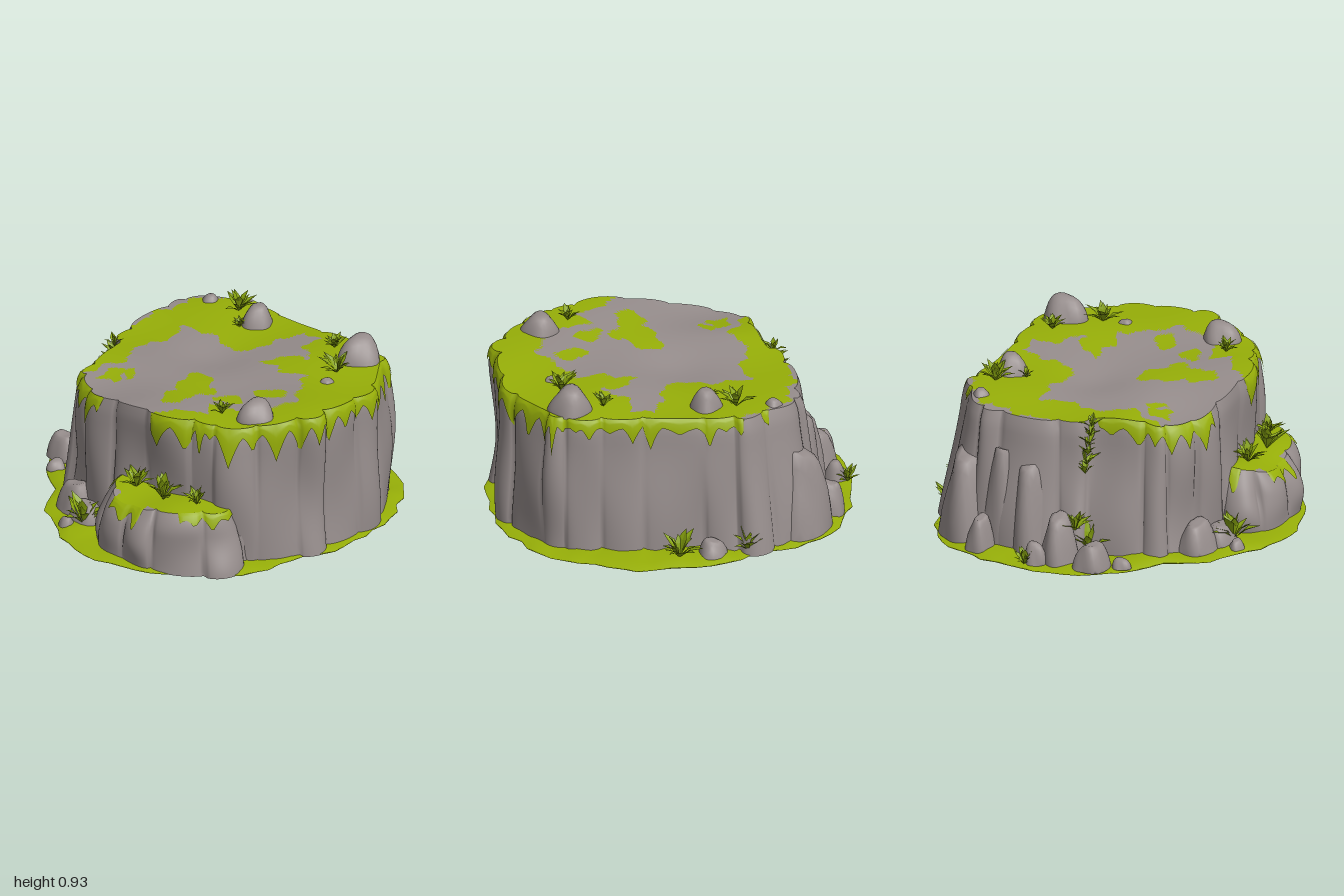
import * as THREE from 'three';
import { mergeGeometries, mergeVertices } from 'three/addons/utils/BufferGeometryUtils.js';

const rock = new THREE.MeshStandardMaterial({ name: 'grey rock', color: 0x968d8c });
const moss = new THREE.MeshStandardMaterial({ name: 'moss green', color: 0x97af08 });
const leafGreen = new THREE.MeshStandardMaterial({ name: 'leaf green', color: 0x86a20e, side: THREE.DoubleSide });

let seed = 7;
const rnd = () => (seed = (seed * 16807) % 2147483647) / 2147483647;
const smooth = THREE.MathUtils.smoothstep;

// Closed grid of rings; faces where green(x, z) holds go to the second material
function grid(n, rows, point, green) {
  const pos = [], sets = [[], []];
  for (let j = 0; j <= rows; j++) for (let i = 0; i < n; i++) pos.push(...point(i, j));
  for (let j = 0; j < rows; j++) {
    for (let i = 0; i < n; i++) {
      const a = j * n + i, b = j * n + (i + 1) % n, c = a + n, d = b + n;
      for (const tri of [[a, c, d], [a, d, b]]) {
        const mid = k => (pos[tri[0] * 3 + k] + pos[tri[1] * 3 + k] + pos[tri[2] * 3 + k]) / 3;
        sets[green && green(mid(0), mid(2)) ? 1 : 0].push(...tri);
      }
    }
  }
  const g = new THREE.BufferGeometry();
  g.setAttribute('position', new THREE.Float32BufferAttribute(pos, 3));
  g.setIndex([...sets[0], ...sets[1]]);
  if (green) {
    g.addGroup(0, sets[0].length, 0);
    g.addGroup(sets[0].length, sets[1].length, 1);
  }
  g.computeVertexNormals();
  return g;
}

function add(parent, name, geometry, material) {
  const m = new THREE.Mesh(geometry, material);
  m.name = name;
  parent.add(m);
  return m;
}

const outline = pts => new THREE.CatmullRomCurve3(pts.map(([x, z]) => new THREE.Vector3(x, 0, z)), true);

function inside(poly, x, z) {
  let hit = false;
  poly.forEach(([x1, z1], i) => {
    const [x2, z2] = poly[(i + 1) % poly.length];
    if ((z1 > z) !== (z2 > z) && x < x1 + (x2 - x1) * (z - z1) / (z2 - z1)) hit = !hit;
  });
  return hit;
}

// Cliff of irregular rock columns with a patchy top and a dripping moss fringe
function cliff(name, { pts, columns, height, green, fringe, drip, centre, bulge, inset, flare, shoulder, rounding }) {
  const group = new THREE.Group(), per = 16, n = columns * per, curve = outline(pts);
  group.name = name;
  const cols = Array.from({ length: columns }, () => ({ shift: rnd() * 0.7, size: 0.25 + rnd(), phase: rnd() * 6, lean: rnd() - 0.5 }));
  const spots = Array.from({ length: n }, (_, i) => {
    const k = Math.floor(i / per), p = (i % per) / per, next = cols[(k + 1) % columns];
    const s0 = k + cols[k].shift, s1 = k + 1 + next.shift;
    const u = ((s0 + (s1 - s0) * p) / columns) % 1;
    const c = curve.getPointAt(u), t = curve.getTangentAt(u);
    return { x: c.x, z: c.z, ox: t.z, oz: -t.x, p, col: cols[k] };
  });
  const at = (i, t, extra = 0) => {
    const { x, z, ox, oz, p, col } = spots[i];
    const round = Math.sqrt(Math.sin(Math.PI * p));
    const skew = col.lean * (p - 0.5) * 0.08 * round;
    const rough = 0.008 * (Math.sin(9 * x + 5 * t) + Math.sin(11 * z - 6 * t));
    const o = round * bulge * (col.size + 0.4 * Math.sin(t * 5 + col.phase)) + skew + rough
      - inset + flare(x, z) * (1 - t) - rounding * Math.max(0, (t - shoulder) / (1 - shoulder)) ** 2 + extra;
    return [x + ox * o, z + oz * o];
  };
  const rim = spots.map((_, i) => {
    const [x, z] = at(i, 1);
    return { x, z, y: height(x, z) };
  });
  add(group, 'rockWall', grid(n, 16, (i, j) => {
    const [x, z] = at(i, j / 16);
    return [x, rim[i].y * j / 16, z];
  }), rock);
  add(group, 'mossyTop', grid(n, 28, (i, j) => {
    const s = 1 - j / 28;
    const x = centre[0] + (rim[i].x - centre[0]) * s, z = centre[1] + (rim[i].z - centre[1]) * s;
    return [x, height(x, z), z];
  }, green), [rock, moss]);
  let start = 0, end = 0, depth = 0;
  const drips = rim.map(({ x, z }, i) => {
    if (i === end) {
      start = end;
      end += 5 + Math.floor(rnd() * 6);
      depth = 0.02 + 0.15 * rnd();
    }
    const tooth = 1 - Math.abs((2 * (i - start)) / (end - start) - 1);
    return fringe(x, z) ? drip * (0.045 + depth * tooth ** 1.5) : 0;
  });
  add(group, 'mossFringe', grid(n, 6, (i, j) => {
    const drop = drips[i] * (1 - j / 6), top = j === 6;
    const [x, z] = at(i, 1 - drop / rim[i].y, !top && drips[i] ? 0.009 : 0);
    return [x, rim[i].y - drop + (top && drips[i] ? 0.003 : 0), z];
  }), moss);
  return group;
}

// Weathered dome standing on its flat base; square widens its shoulders
function boulder(parent, name, x, y, z, r, h, square) {
  let g = new THREE.IcosahedronGeometry(1, 4);
  g.deleteAttribute('uv');
  g.deleteAttribute('normal');
  g = mergeVertices(g, 1e-4);
  const p = g.attributes.position, s = rnd() * 6;
  for (let i = 0; i < p.count; i++) {
    const a = p.getX(i), b = p.getY(i), c = p.getZ(i);
    const k = 1 + 0.08 * Math.sin(3 * a + s) + 0.07 * Math.sin(4 * c + 2 * b + s);
    const w = k * Math.max(Math.hypot(a, c), 0.01) ** -square * (1.08 - 0.25 * Math.max(b, 0));
    p.setXYZ(i, a * w, Math.max(0, Math.min(b * k, 0.9 + 0.1 * Math.sin(2 * a + s))), c * w);
  }
  g.computeVertexNormals();
  const m = add(parent, name, g, rock);
  m.scale.set(r, h / 0.93, r);
  m.position.set(x, y, z);
}

// Tuft of folded pointed leaves
function tuft(parent, name, x, y, z, size, count = 17) {
  const leaves = [];
  for (let i = 0; i < count; i++) {
    const l = size * (0.65 + 0.4 * rnd()), w = l * 0.16, tilt = 0.15 + 0.95 * rnd();
    const out = l * Math.sin(tilt), up = l * Math.cos(tilt);
    const B = [0, 0, 0], T = [out, up * 0.9, 0], M = [out * 0.45, up * 0.55, 0];
    const L = [M[0], M[1] + w * 0.4, w], R = [M[0], M[1] + w * 0.4, -w];
    const g = new THREE.BufferGeometry();
    g.setAttribute('position', new THREE.Float32BufferAttribute([B, L, M, L, T, M, B, M, R, M, T, R].flat(), 3));
    g.computeVertexNormals();
    leaves.push(g.rotateY(i * 2.4 + rnd()));
  }
  add(parent, name, mergeGeometries(leaves), leafGreen).position.set(x, y, z);
}

const plateauHeight = (x, z) => 0.77 + 0.04 * x + 0.012 * Math.sin(7 * x + 2) * Math.cos(6 * z)
  - 0.045 * Math.exp(-((x + 0.05) ** 2 + (z + 0.08) ** 2) / 0.05)
  - 0.04 * smooth(z, 0.25, 0.62) * smooth(-x, -0.15, 0.3);
const ledgeHeight = (x, z) => 0.345 - 0.04 * smooth(z, 0.65, 0.9) + 0.008 * Math.sin(14 * x);

// Bare rock area of the plateau, and moss islands [x, z, rx, rz] on it
const bare = [[0.06, -0.62], [0.18, -0.64], [0.22, -0.5], [0.36, -0.42], [0.2, -0.33], [0.2, -0.23], [0.38, -0.22], [0.48, -0.28],
  [0.6, -0.15], [0.72, 0.02], [0.68, 0.14], [0.58, 0.3], [0.42, 0.33], [0.52, 0.42], [0.36, 0.48], [0.28, 0.8], [-0.2, 0.8], [-0.42, 0.75],
  [-0.38, 0.42], [-0.28, 0.28], [-0.42, 0.2], [-0.38, 0], [-0.42, -0.22], [-0.3, -0.24], [0, -0.25], [0.06, -0.45]];
const islands = [[0.13, 0.18, 0.09, 0.1], [0.22, 0.27, 0.1, 0.07], [0.22, 0.4, 0.08, 0.1], [-0.18, 0.38, 0.05, 0.03],
  [0.53, 0.01, 0.08, 0.07], [0.42, 0.2, 0.07, 0.06], [-0.27, 0.44, 0.06, 0.07]];
function mossy(px, pz) {
  const x = px + 0.02 * Math.sin(23 * pz) + 0.012 * Math.sin(51 * pz), z = pz + 0.02 * Math.sin(25 * px + 1) + 0.012 * Math.sin(47 * px);
  if (x < -0.65 || x + z < -1.08) return false;
  return !inside(bare, x, z) || islands.some(([a, b, c, d]) => ((x - a) / c) ** 2 + ((z - b) / d) ** 2 < 1);
}

export function createModel() {
  const model = new THREE.Group();
  model.name = 'mossyRockPlateau';

  // Grass skirt on the ground
  const edge = outline([[0, -0.97], [0.2, -0.98], [0.4, -0.9], [0.57, -0.87], [0.75, -0.72], [0.88, -0.53], [0.95, -0.3],
    [0.98, -0.1], [0.92, 0.2], [0.89, 0.48], [0.72, 0.7], [0.55, 0.84], [0.2, 0.98], [0, 0.97], [-0.2, 0.9], [-0.4, 0.78],
    [-0.55, 0.6], [-0.72, 0.5], [-0.86, 0.38], [-0.94, 0.15], [-0.98, -0.1], [-0.95, -0.35], [-0.86, -0.58], [-0.7, -0.7],
    [-0.5, -0.78], [-0.3, -0.88]]);
  const ring = Array.from({ length: 76 }, (_, i) => {
    const p = edge.getPointAt(i / 76);
    return [p.x, p.z, 0.985 + 0.035 * rnd(), 0.01 + 0.02 * rnd()];
  });
  const steps = [[0, 0], [1, 0], [1, 0.25], [0.93, 1], [0.8, 1.1], [0, 1.1]];
  add(model, 'grassBase', grid(76, 5, (i, j) => {
    const [x, z, k, h] = ring[i], [s, y] = steps[j];
    return [x * k * s, y * h, z * k * s];
  }), moss);

  // Main plateau, sloping outward on its right-hand side and at the back
  model.add(cliff('plateau', {
    pts: [[0, -0.73], [0.2, -0.75], [0.45, -0.77], [0.65, -0.75], [0.79, -0.56], [0.9, -0.38], [0.94, -0.1], [0.91, 0.12],
      [0.83, 0.34], [0.7, 0.5], [0.48, 0.58], [0.25, 0.65], [0, 0.67], [-0.25, 0.64], [-0.4, 0.55], [-0.49, 0.37],
      [-0.58, 0.14], [-0.68, -0.04], [-0.72, -0.28], [-0.68, -0.5], [-0.5, -0.64], [-0.25, -0.71]],
    columns: 23, height: plateauHeight, green: mossy, centre: [0.05, -0.08], bulge: 0.036, inset: 0.028, drip: 1,
    flare: (x, z) => 0.012 + 0.08 * smooth(-x, 0.1, 0.5) + 0.04 * smooth(-z, 0.5, 0.7) * smooth(-x, -0.5, -0.1),
    shoulder: 0.88, rounding: 0.018,
    fringe: (x, z) => !(x < -0.5 && z > -0.45) && (mossy(x, z) || (x < -0.1 && z > 0.3)),
  }));

  // Low front ledge
  model.add(cliff('frontLedge', {
    pts: [[0.4, 0.4], [0.72, 0.36], [0.8, 0.48], [0.74, 0.66], [0.58, 0.8], [0.36, 0.88], [0.15, 0.85], [0.04, 0.76], [0.04, 0.55]],
    columns: 10, height: ledgeHeight, centre: [0.4, 0.62], bulge: 0.05, inset: 0.04, drip: 0.6,
    flare: () => 0.045, shoulder: 0.65, rounding: 0.035,
    green: (x, z) => z < 0.77 || Math.sin(15 * x) < 0, fringe: (x, z) => z < 0.72 || Math.sin(15 * x) < 0,
  }));

  // Boulders on the plateau: x, z, radius, height
  for (const [x, z, r, h] of [[0.53, -0.62, 0.115, 0.13], [0.7, 0.25, 0.1, 0.1], [-0.2, -0.52, 0.085, 0.11],
    [0.63, -0.31, 0.035, 0.03], [-0.56, -0.5, 0.045, 0.04]]) {
    boulder(model, 'plateauBoulder', x, plateauHeight(x, z) - 0.01, z, r, h, 0.12);
  }

  // Rocks leaning against the foot of the cliff
  for (const [x, z, r, h] of [[-0.71, -0.1, 0.12, 0.49], [-0.7, -0.49, 0.16, 0.48], [-0.69, -0.28, 0.11, 0.62], [-0.86, -0.33, 0.07, 0.2],
    [-0.79, 0.12, 0.1, 0.25], [-0.78, 0.32, 0.09, 0.15], [-0.88, 0.03, 0.06, 0.11], [-0.7, 0.46, 0.05, 0.05],
    [-0.28, 0.67, 0.1, 0.17], [-0.13, 0.72, 0.09, 0.12], [-0.16, 0.85, 0.04, 0.05], [-0.24, -0.81, 0.07, 0.09]]) {
    boulder(model, 'footRock', x, 0.012, z, r, h, 0.25);
  }

  // Plants: x, z, leaf length
  for (const [x, z, s] of [[-0.36, -0.53, 0.14], [0.35, -0.6, 0.11], [0.58, -0.42, 0.14], [0.55, 0.36, 0.1], [-0.22, -0.42, 0.07]]) {
    tuft(model, 'plateauPlant', x, plateauHeight(x, z), z, s);
  }
  for (const [x, z, s] of [[0.23, 0.69, 0.14], [0.44, 0.68, 0.17], [0.61, 0.59, 0.12]]) {
    tuft(model, 'ledgePlant', x, ledgeHeight(x, z), z, s);
  }
  for (const [x, y, z, s] of [[-0.09, 0.03, 0.79, 0.2], [-0.64, 0.04, 0.22, 0.18], [-0.72, 0.17, 0.18, 0.14], [-0.95, 0.02, 0.0, 0.11],
    [-0.43, 0.02, -0.78, 0.16], [-0.06, 0.02, -0.86, 0.18]]) {
    tuft(model, 'groundPlant', x, y, z, s);
  }

  // Hanging vine on the cliff's side
  for (let i = 0; i < 6; i++) tuft(model, 'vineLeaves', -0.61 + 0.012 * i, 0.46 + 0.05 * i, 0.18, 0.1, 8);
  return model;
}
